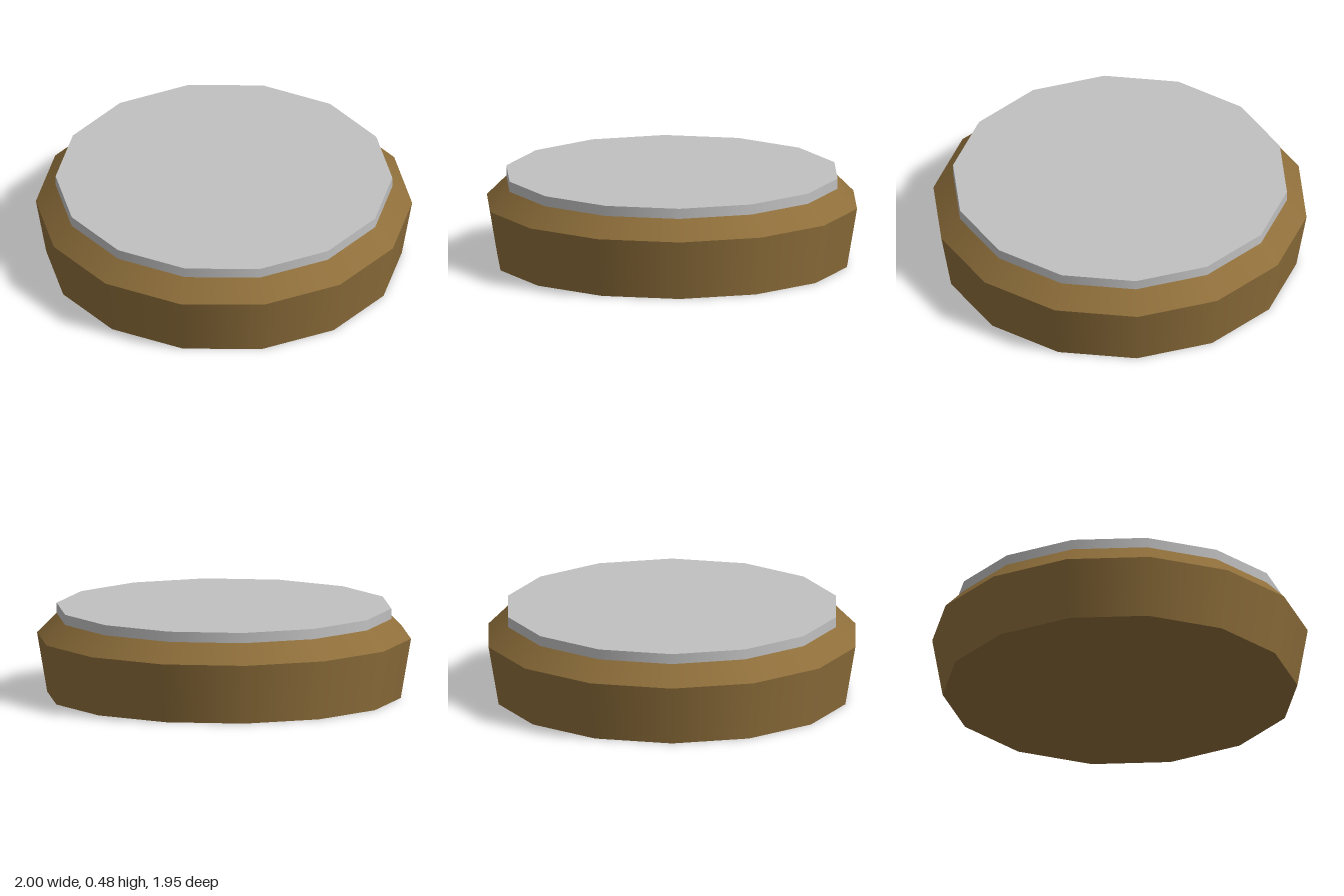
import * as THREE from 'three';

const SIDES = 14;

export function createModel() {
  const group = new THREE.Group();
  const brown = new THREE.MeshStandardMaterial({ name: 'brown', color: 0x8f6f3b });
  const grey = new THREE.MeshStandardMaterial({ name: 'light grey', color: 0xc0c0c0 });

  // One tapered 14-sided band, with a corner pointing along +x
  function band(name, material, rBottom, rTop, y0, y1, open) {
    const geometry = new THREE.CylinderGeometry(rTop, rBottom, y1 - y0, SIDES, 1, open, Math.PI / 2);
    geometry.translate(0, (y0 + y1) / 2, 0);
    const mesh = new THREE.Mesh(geometry, material);
    mesh.name = name;
    group.add(mesh);
  }

  // Flared base, bevelled shoulder and raised top disc
  band('base', brown, 0.945, 1, 0, 0.32, false);
  band('shoulder', brown, 1, 0.895, 0.32, 0.425, true);
  band('topDisc', grey, 0.895, 0.895, 0.425, 0.48, false);

  return group;
}
